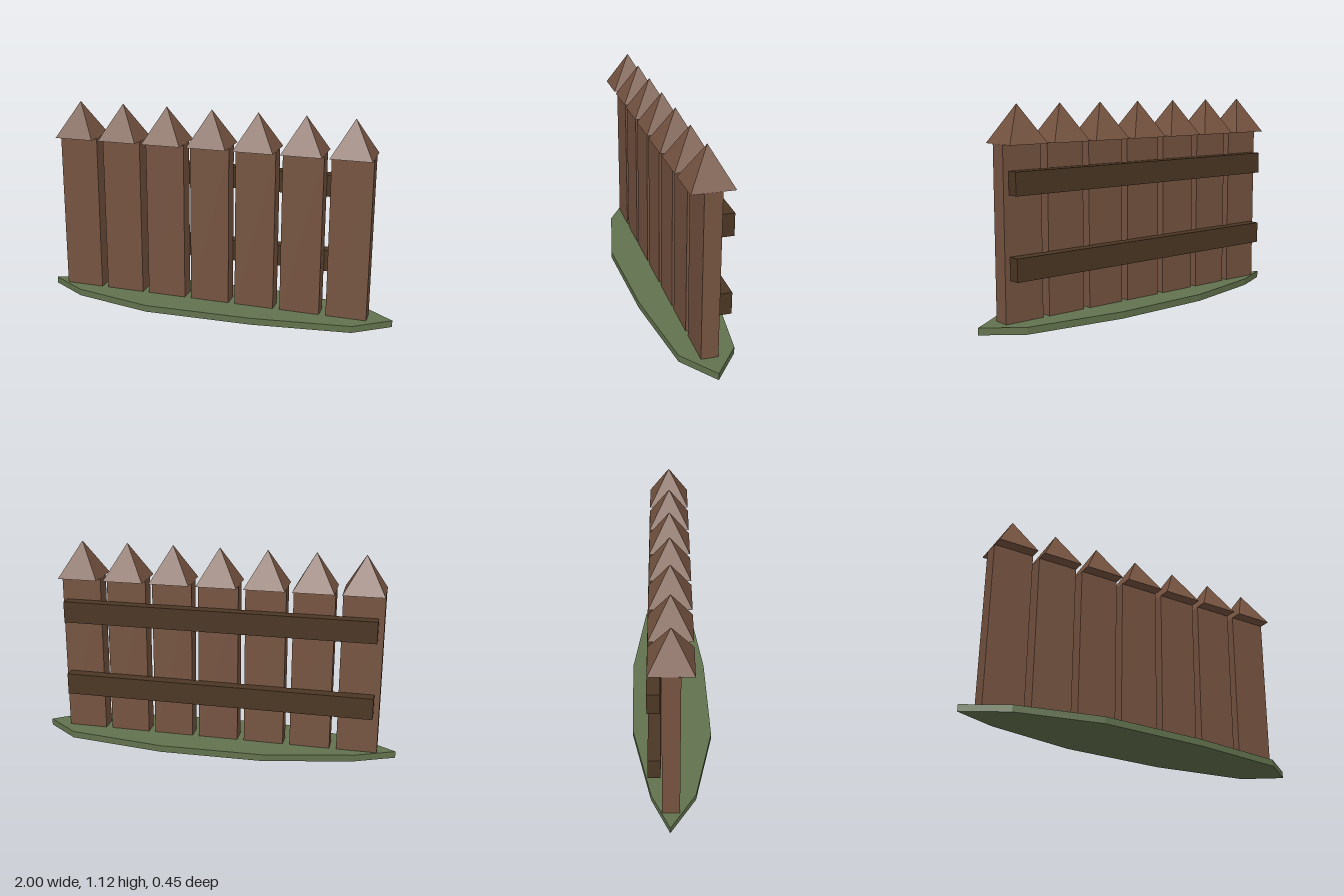
import * as THREE from 'three';

export function createModel() {
  const group = new THREE.Group();
  const material = (name, color) => {
    const m = new THREE.MeshStandardMaterial({ color });
    m.name = name;
    return m;
  };
  const wood = material('wood', 0x755340);
  const darkWood = material('dark wood', 0x4b3623);
  const grass = material('grass', 0x62724d);

  const add = (name, geometry, mat, x, y, z) => {
    const mesh = new THREE.Mesh(geometry, mat);
    mesh.name = name;
    mesh.position.set(x, y, z);
    group.add(mesh);
  };

  // Irregular ten-sided ground patch, outline given as x, z
  const outline = [
    [-1, -0.01], [-0.78, 0.125], [-0.33, 0.222], [0.27, 0.203], [0.805, 0.135],
    [1, -0.008], [0.81, -0.153], [0.27, -0.225], [-0.3, -0.213], [-0.78, -0.108],
  ];
  const shape = new THREE.Shape(outline.map(([x, z]) => new THREE.Vector2(x, -z)));
  const patch = new THREE.ExtrudeGeometry(shape, { depth: 0.037, bevelEnabled: false });
  patch.rotateX(-Math.PI / 2);
  add('groundPatch', patch, grass, 0, 0, 0);

  // Seven pickets, each a plank with an overhanging pyramid cap
  const capBase = 0.925, capHeight = 0.195, width = 0.22, midZ = -0.005;
  const plank = new THREE.BoxGeometry(width, capBase, 0.09);
  const cap = new THREE.ConeGeometry(width / Math.SQRT2, capHeight, 4, 1).toNonIndexed();
  cap.rotateY(Math.PI / 4);
  cap.computeVertexNormals();
  for (let i = 0; i < 7; i++) {
    const x = -0.79 + i * 0.2577;
    add('picket', plank, wood, x, capBase / 2 + 0.001, midZ);
    add('picketCap', cap, wood, x, capBase + capHeight / 2, midZ);
  }

  // Two rails behind the pickets
  const rail = new THREE.BoxGeometry(1.71, 0.118, 0.064);
  for (const y of [0.316, 0.739]) add('rail', rail, darkWood, -0.015, y, -0.088);

  return group;
}
